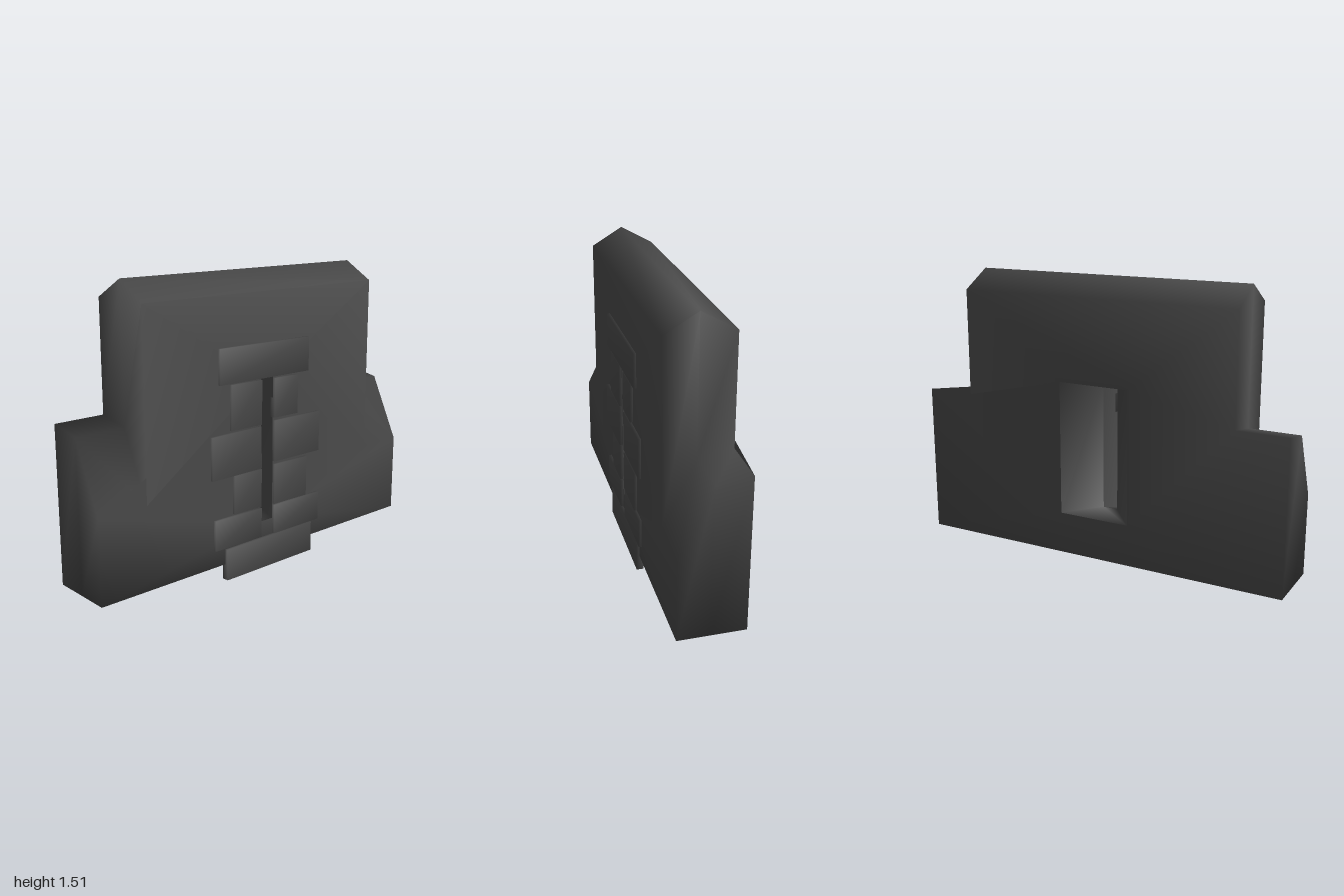
import * as THREE from 'three';
import { mergeVertices } from 'three/addons/utils/BufferGeometryUtils.js';

// Skin a list of closed rings (each an equal-length list of [x, y, z]) with smooth normals
function skin(rings) {
  const n = rings[0].length;
  const index = [];
  for (let r = 0; r < rings.length - 1; r++) {
    for (let i = 0; i < n; i++) {
      const j = (i + 1) % n;
      const a = r * n + i, b = (r + 1) * n + i, c = (r + 1) * n + j, d = r * n + j;
      index.push(a, b, c, a, c, d);
    }
  }
  let geo = new THREE.BufferGeometry();
  geo.setAttribute('position', new THREE.Float32BufferAttribute(rings.flat(2), 3));
  geo.setIndex(index);
  geo = mergeVertices(geo, 1e-4);
  geo.computeVertexNormals();
  return geo;
}

// Outer outline of the wall: wide shoulders up to `shoulder`, narrower top up to `top`
const outline = (shoulder, top, z) => [
  [-1, 0.085, z], [1, 0.085, z], [1, shoulder, z], [0.74, shoulder, z],
  [0.74, top, z], [-0.74, top, z], [-0.74, shoulder, z], [-1, shoulder, z],
];

// Four corners of the window opening
const opening = (half, bottom, z) => [
  [-half, bottom, z], [half, bottom, z], [half, 0.99, z], [-half, 0.99, z],
];

// Opening corners repeated to pair with the eight outline points
const pairUp = (o) => [0, 1, 1, 2, 2, 3, 3, 0].map((i) => o[i]);

// Box with rounded-looking shading
function softBox(w, h, d) {
  let geo = new THREE.BoxGeometry(w, h, d);
  geo.deleteAttribute('normal');
  geo.deleteAttribute('uv');
  geo = mergeVertices(geo);
  geo.computeVertexNormals();
  return geo;
}

export function createModel() {
  const model = new THREE.Group();
  const stone = new THREE.MeshStandardMaterial({ color: 0x4a4a4a });
  stone.name = 'darkStone';

  const add = (name, geo) => {
    const mesh = new THREE.Mesh(geo, stone);
    mesh.name = name;
    model.add(mesh);
    return mesh;
  };

  const front = 0.16, back = -0.17;
  const slitFront = opening(0.04, 0.25, front);
  const slitMid = opening(0.04, 0.3, 0.01);
  const slitBack = opening(0.19, 0.3, back);

  // Wall with ridged top and sloping shoulders
  add('wall', skin([
    pairUp(slitFront),
    outline(0.5, 1.415, front),
    outline(0.835, 1.51, 0),
    outline(0.865, 1.415, back),
    pairUp(slitBack),
  ]));

  // Window reveal: splayed at the back, straight at the front
  add('splayedReveal', skin([slitBack, slitMid]));
  add('slitReveal', skin([slitMid, slitFront]));

  // Stones framing the slit: name, x0, x1, y0, y1, tilt
  const blocks = [
    ['lintel', -0.312, 0.275, 0.993, 1.167, -0.006],
    ['sill', -0.275, 0.312, 0.004, 0.165, 0.004],
    ['rightJambStone', -0.243, -0.046, 0.762, 0.987, -0.008],
    ['rightJambStone', -0.364, -0.048, 0.536, 0.752, 0.008],
    ['rightJambStone', -0.225, -0.047, 0.336, 0.533, -0.006],
    ['rightJambStone', -0.347, -0.046, 0.174, 0.328, -0.01],
    ['leftJambStone', 0.04, 0.2, 0.782, 0.982, -0.01],
    ['leftJambStone', 0.042, 0.36, 0.554, 0.766, -0.004],
    ['leftJambStone', 0.042, 0.27, 0.328, 0.538, -0.008],
    ['leftJambStone', 0.042, 0.362, 0.17, 0.322, 0.004],
  ];
  for (const [name, x0, x1, y0, y1, tilt] of blocks) {
    const block = add(name, softBox(x1 - x0, y1 - y0, 0.035));
    block.position.set((x0 + x1) / 2, (y0 + y1) / 2, 0.1575);
    block.rotation.z = tilt;
  }

  return model;
}
